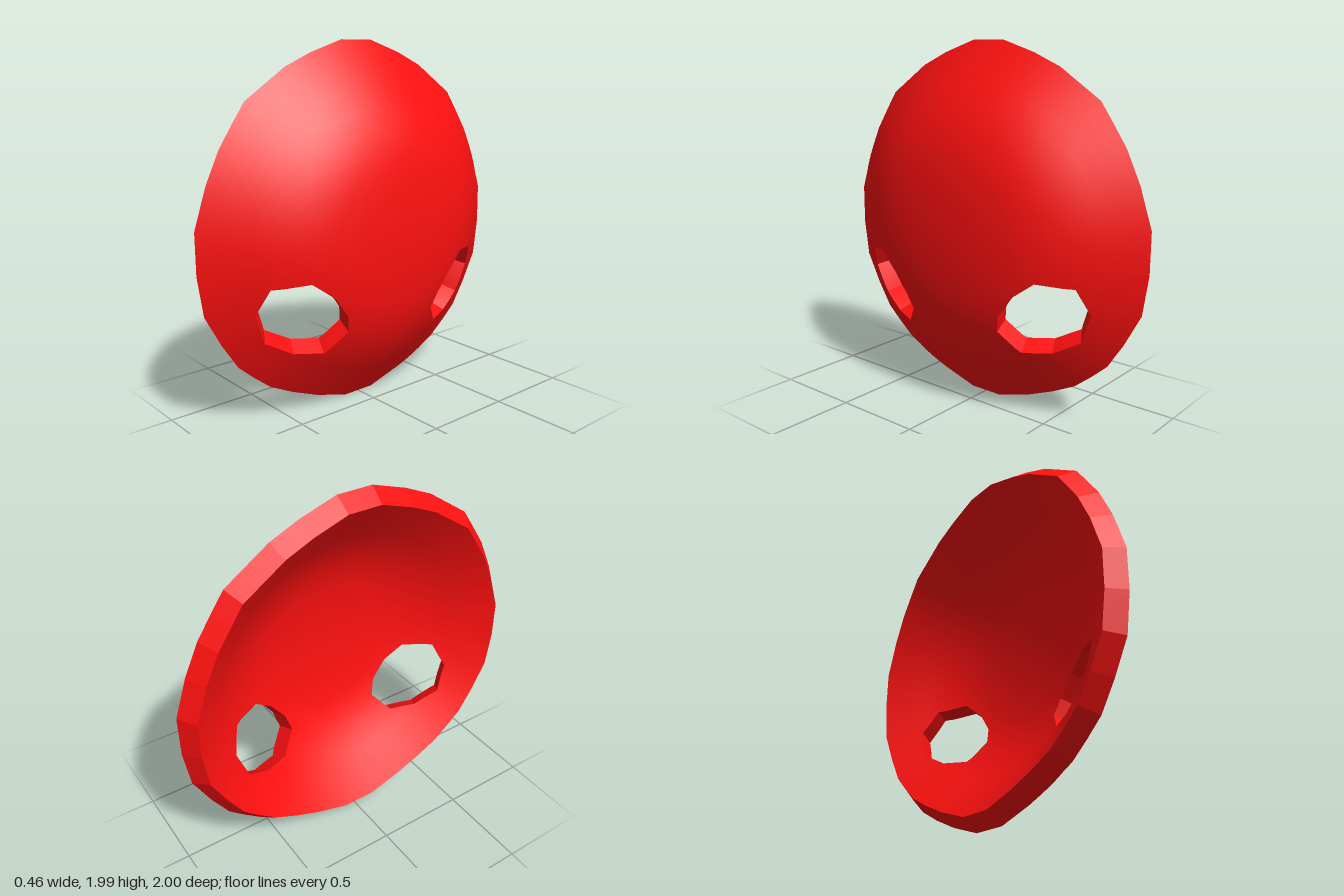
import * as THREE from 'three';

const THICKNESS = 0.11;
const ROWS = 10;
const EYE = [0.53, 0.62]; // eye centre as [z, y]

// Dome profile: [radius from the axis, x]
const PROFILE = [[0, 0.237], [0.1, 0.235], [0.3, 0.22], [0.5, 0.18], [0.69, 0.09], [1, -0.14], [1.2, -0.29]];

// Half outline, rim from top to bottom; closing edge is the mirror line
const HALF = [[0, 1.995], [0.1, 1.995], [0.3, 1.93], [0.46, 1.86], [0.7, 1.7], [0.77, 1.6], [0.85, 1.48],
  [0.93, 1.31], [1, 1.1], [1, 0.88], [0.97, 0.67], [0.88, 0.5], [0.79, 0.36], [0.7, 0.28], [0.6, 0.2],
  [0.46, 0.13], [0.3, 0.065], [0.1, 0.005], [0, 0.005]];

const EYE_HOLE = [[0.71, 0.8], [0.76, 0.66], [0.695, 0.495], [0.55, 0.415], [0.4, 0.4],
  [0.3, 0.515], [0.325, 0.61], [0.41, 0.725], [0.53, 0.815]];

function height(r) {
  r = Math.abs(r);
  let k = 1;
  while (k < PROFILE.length - 1 && PROFILE[k][0] < r) k++;
  const [r0, x0] = PROFILE[k - 1], [r1, x1] = PROFILE[k];
  return x0 + (x1 - x0) * (r - r0) / (r1 - r0);
}

// Point on the dome and its normal; the rim lies in one plane
function onDome([z, y], side) {
  const r = Math.hypot(z, y - 1);
  const slope = (height(r + 0.1) - height(r - 0.1)) / 0.2;
  const x = r > 0.965 ? -0.14 : height(r);
  const k = r > 1e-6 ? -slope / r : 0;
  const normal = new THREE.Vector3(1, (y - 1) * k, z * k * side).normalize();
  const outer = new THREE.Vector3(x, y, z * side);
  return { outer, inner: outer.clone().addScaledVector(normal, -THICKNESS), normal };
}

// Where a ray from the eye centre meets a polygon
function hit(poly, angle) {
  const dx = Math.cos(angle), dy = Math.sin(angle);
  let best = 0;
  poly.forEach(([ax, ay], i) => {
    const [bx, by] = poly[(i + 1) % poly.length];
    const ex = bx - ax, ey = by - ay, px = ax - EYE[0], py = ay - EYE[1];
    const det = dx * ey - dy * ex;
    if (Math.abs(det) < 1e-9) return;
    const s = (px * ey - py * ex) / det, u = (px * dy - py * dx) / det;
    if (s > 0 && u > -1e-6 && u < 1 + 1e-6) best = Math.max(best, s);
  });
  return [EYE[0] + dx * best, EYE[1] + dy * best];
}

// Every corner of both outlines plus regular steps between them
function rayAngles() {
  const list = [...HALF, ...EYE_HOLE].map(([z, y]) => Math.atan2(y - EYE[1], z - EYE[0]));
  for (let i = 0; i < 120; i++) list.push(-Math.PI + (i + 0.5) * Math.PI / 60);
  list.sort((a, b) => a - b);
  return list.filter((a, i) => i === 0 || a - list[i - 1] > 1e-4);
}

// Closed band surface from rows of points, with given normals or flat ones
function band(rows, flip, normals, keep = () => true) {
  const n = rows[0].length, index = [];
  for (let j = 0; j < rows.length - 1; j++) {
    for (let i = 0; i < n; i++) {
      const i2 = (i + 1) % n;
      if (!keep(i, i2)) continue;
      const a = j * n + i, b = a + n, c = (j + 1) * n + i2, d = j * n + i2;
      index.push(...(flip ? [a, c, b, a, d, c] : [a, b, c, a, c, d]));
    }
  }
  let geo = new THREE.BufferGeometry().setFromPoints(rows.flat());
  geo.setIndex(index);
  if (normals) {
    geo.setAttribute('normal', new THREE.Float32BufferAttribute(normals.flatMap((v) => v.toArray()), 3));
  } else {
    geo = geo.toNonIndexed();
    geo.computeVertexNormals();
  }
  return geo;
}

export function createModel() {
  const model = new THREE.Group();
  model.name = 'mask';
  const red = new THREE.MeshStandardMaterial({ color: 0xff1010 });
  const add = (parent, name, geo) => {
    const mesh = new THREE.Mesh(geo, red);
    mesh.name = name;
    parent.add(mesh);
  };

  const angles = rayAngles();
  const holeLoop = angles.map((a) => hit(EYE_HOLE, a));
  const edgeLoop = angles.map((a) => hit(HALF, a));

  for (const side of [1, -1]) {
    const half = new THREE.Group();
    half.name = side > 0 ? 'leftHalf' : 'rightHalf';
    model.add(half);

    // Rows spread from the eye hole out to the half outline
    const grid = [];
    for (let j = 0; j <= ROWS; j++) {
      const t = j / ROWS;
      grid.push(holeLoop.map(([z, y], i) => onDome(
        [z + (edgeLoop[i][0] - z) * t, y + (edgeLoop[i][1] - y) * t], side)));
    }
    const outer = grid.map((row) => row.map((p) => p.outer));
    const inner = grid.map((row) => row.map((p) => p.inner));
    const normals = grid.flat().map((p) => p.normal);
    const mirrored = side < 0;

    add(half, 'outerShell', band(outer, !mirrored, normals));
    add(half, 'innerShell', band(inner, mirrored, normals.map((v) => v.clone().negate())));
    add(half, 'eyeHoleWall', band([outer[0], inner[0]], mirrored));

    // Rim wall skips the mirror line
    const onRim = (i, i2) => edgeLoop[i][0] > 1e-5 || edgeLoop[i2][0] > 1e-5;
    add(half, 'rim', band([outer[ROWS], inner[ROWS]], !mirrored, null, onRim));
  }
  return model;
}
